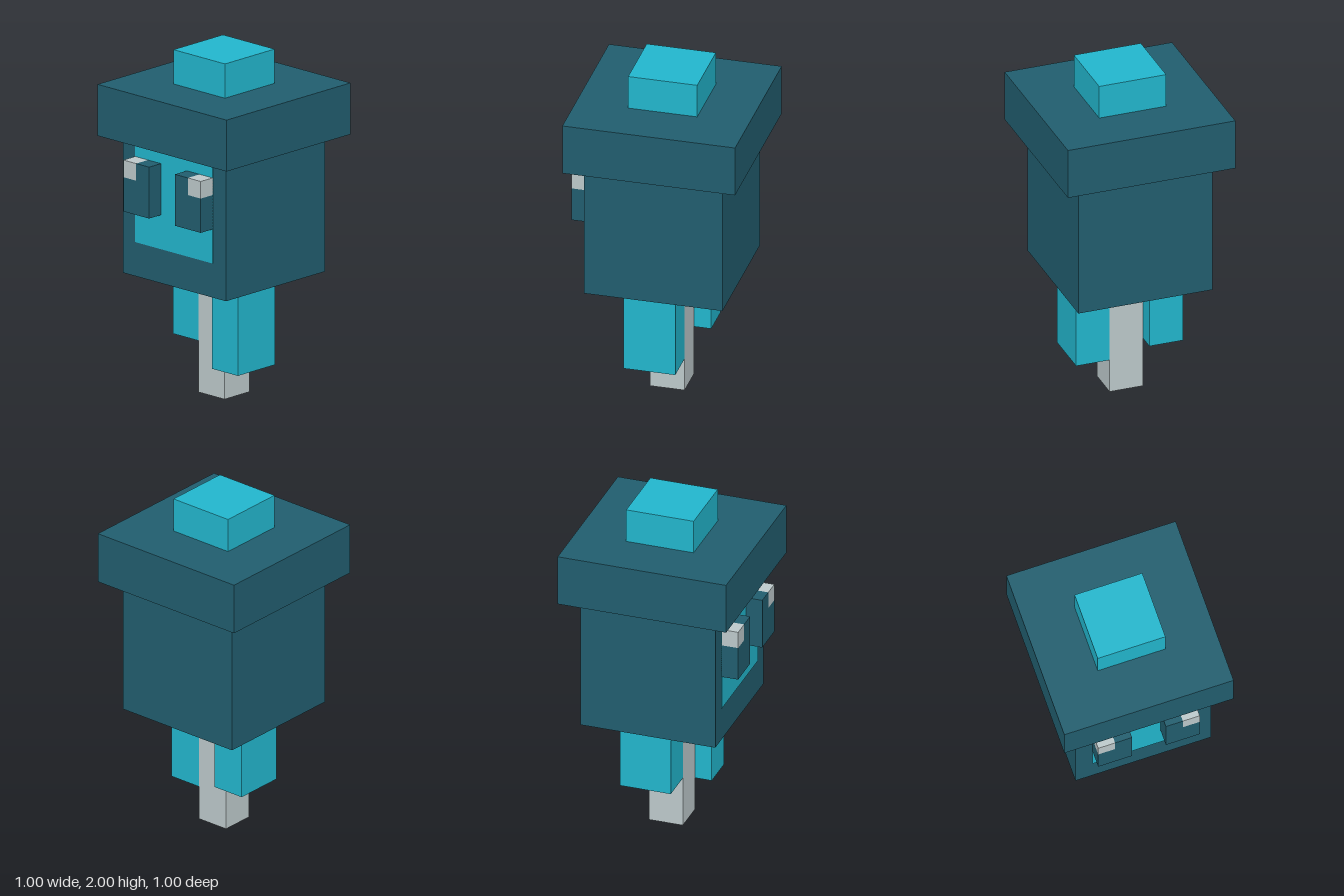
import * as THREE from 'three';

const material = (name, color) => {
  const m = new THREE.MeshStandardMaterial({ color });
  m.name = name;
  return m;
};

export function createModel() {
  const model = new THREE.Group();
  model.name = 'squareHeadedFigure';
  const navy = material('deep teal', 0x215d6e);
  const cyan = material('bright cyan', 0x22b5cc);
  const grey = material('pale grey', 0xbcc8ca);

  // Box spanning two opposite corners
  const block = (name, mat, min, max) => {
    const size = max.map((v, i) => v - min[i]);
    const mesh = new THREE.Mesh(new THREE.BoxGeometry(...size), mat);
    mesh.position.set(...max.map((v, i) => (v + min[i]) / 2));
    mesh.name = name;
    model.add(mesh);
  };

  // Hat and head
  block('hatTop', cyan, [-0.2, 1.8, -0.2], [0.2, 2, 0.2]);
  block('hatBrim', navy, [-0.5, 1.5, -0.5], [0.5, 1.8, 0.5]);
  block('head', navy, [-0.4, 0.7, -0.4], [0.4, 1.5, 0.4]);
  block('facePanel', cyan, [-0.3, 0.9, 0.4], [0.3, 1.5, 0.404]);

  // Eyes: an L-shaped block with a highlight in the upper outer corner
  for (const [side, s] of [['left', 1], ['right', -1]]) {
    const part = (name, mat, x0, x1, y0, y1) =>
      block(side + name, mat, [Math.min(s * x0, s * x1), y0, 0.4], [Math.max(s * x0, s * x1), y1, 0.5]);
    part('EyeLower', navy, 0.1, 0.3, 1.1, 1.3);
    part('EyeUpper', navy, 0.1, 0.2, 1.3, 1.4);
    part('EyeHighlight', grey, 0.2, 0.3, 1.3, 1.4);
  }

  // Staggered legs beneath the head
  block('centreLeg', grey, [-0.1, 0, -0.1], [0.1, 0.7, 0.1]);
  block('leftLeg', cyan, [0.1, 0.2, -0.1], [0.3, 0.7, 0.2]);
  block('rightLeg', cyan, [-0.3, 0.3, -0.2], [-0.1, 0.7, 0.1]);

  return model;
}
